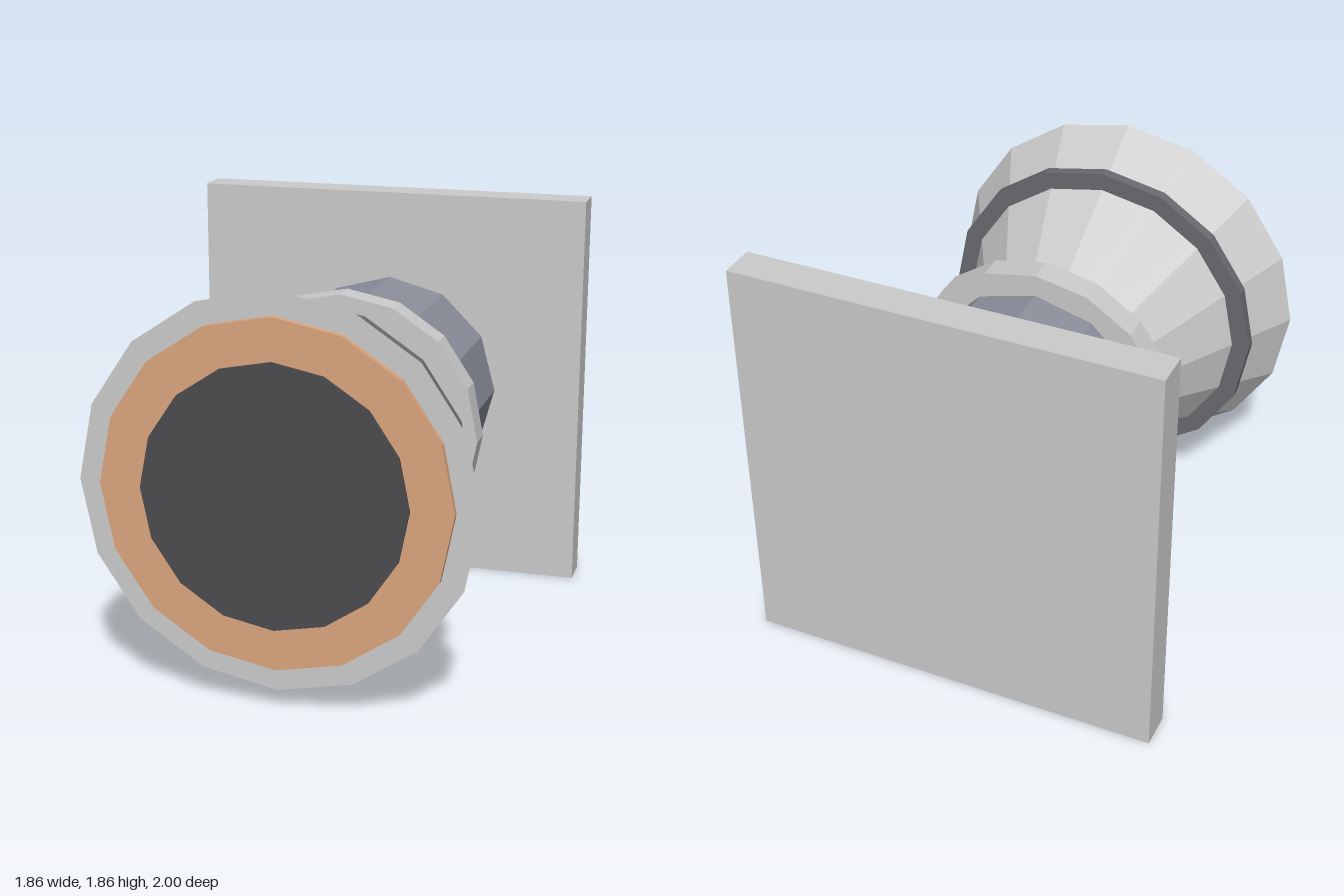
import * as THREE from 'three';

export function createModel() {
  const group = new THREE.Group();
  const axisY = 0.93;
  const mat = (color) => new THREE.MeshStandardMaterial({ color, flatShading: true });
  const grey = mat(0xcccccc);

  // Faceted disc, drum or cone lying along z, from zBack to zFront
  function drum(name, rBack, rFront, zBack, zFront, sides, material) {
    const geo = new THREE.CylinderGeometry(rFront, rBack, zFront - zBack, sides);
    geo.rotateX(Math.PI / 2);
    const mesh = new THREE.Mesh(geo, material);
    mesh.name = name;
    mesh.position.set(0, axisY, (zBack + zFront) / 2);
    group.add(mesh);
  }

  // Square mounting plate
  const plate = new THREE.Mesh(new THREE.BoxGeometry(1.86, 1.86, 0.16), grey);
  plate.name = 'mountingPlate';
  plate.position.set(0, axisY, -0.92);
  group.add(plate);

  // Body and collar
  drum('body', 0.525, 0.525, -0.82, -0.09, 12, mat(0x8c8f9b));
  drum('collar', 0.625, 0.625, -0.09, 0.03, 16, grey);

  // Flared bell with its band
  drum('bell', 0.3, 0.845, 0.03, 0.96, 16, grey);
  drum('bellBand', 0.745, 0.745, 0.65, 0.70, 16, mat(0x6a6b70));

  // Front discs
  drum('copperDisc', 0.745, 0.745, 0.96, 0.988, 16, mat(0xdba57d));
  drum('darkDisc', 0.565, 0.565, 0.97, 1.0, 16, mat(0x4c4c4e));

  return group;
}
